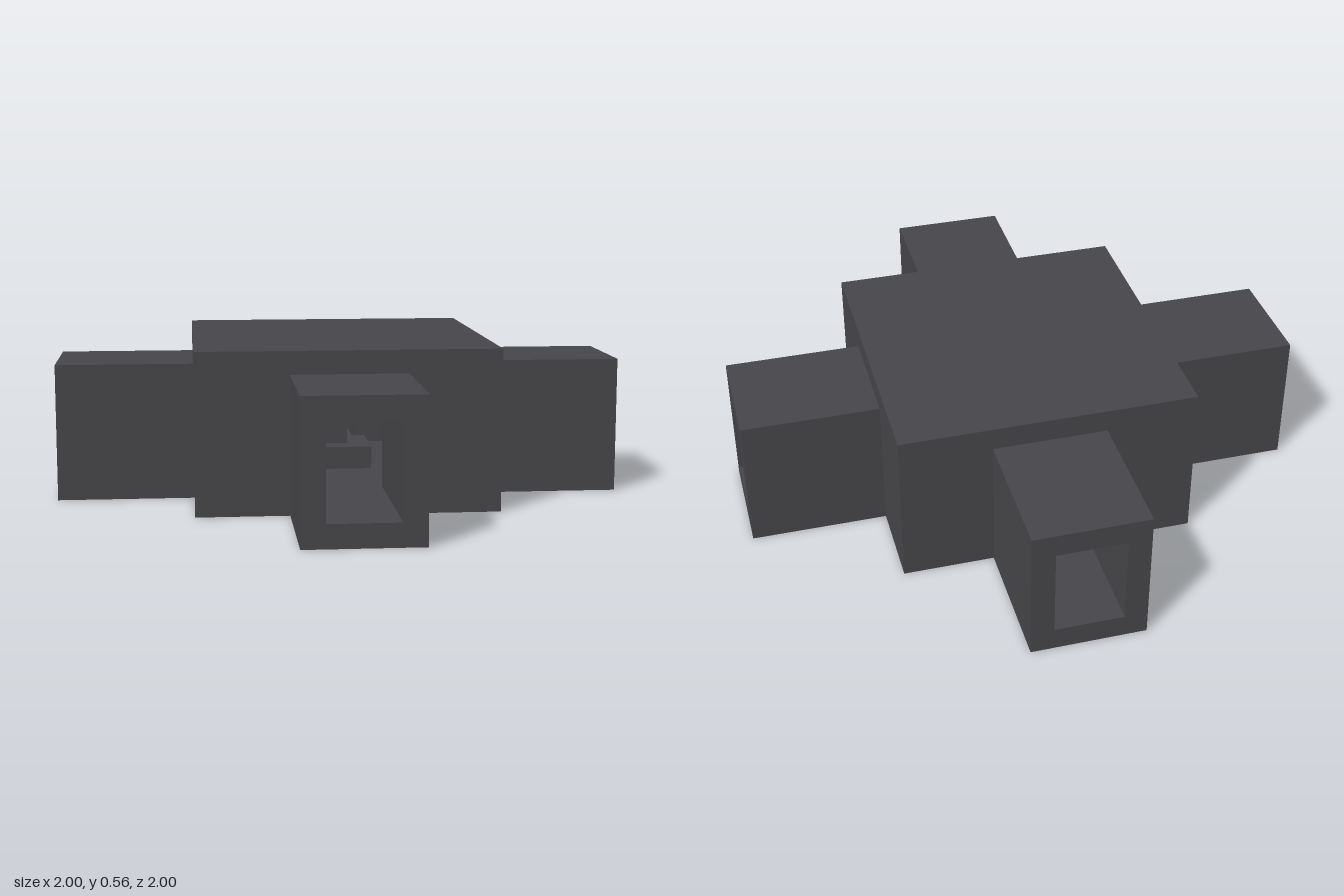
import * as THREE from 'three';

const BLOCK = 0.08; // wall thickness

// Rectangle from x0..x1, y0..y1 with the doorway cut out, extruded along z
function wallWithDoor(x0, x1, height, depth) {
  const shape = new THREE.Shape();
  shape.moveTo(x0, 0).lineTo(x1, 0).lineTo(x1, height).lineTo(x0, height).closePath();
  const door = new THREE.Path();
  door.moveTo(-0.12, 0.08).lineTo(-0.12, 0.4).lineTo(0.12, 0.4).lineTo(0.12, 0.08).closePath();
  shape.holes.push(door);
  return new THREE.ExtrudeGeometry(shape, { depth, bevelEnabled: false });
}

export function createModel() {
  const stone = new THREE.MeshStandardMaterial({ color: 0x47464a });
  stone.name = 'darkStone';
  const crystal = new THREE.MeshStandardMaterial({ color: 0x7f5fb0 });
  crystal.name = 'purpleCrystal';

  const model = new THREE.Group();
  model.name = 'crossChamber';

  const add = (name, geometry, material, parent = model) => {
    const mesh = new THREE.Mesh(geometry, material);
    mesh.name = name;
    parent.add(mesh);
    return mesh;
  };
  const addBox = (name, width, bottom, height, material) => {
    add(name, new THREE.BoxGeometry(width, height, width), material).position.y = bottom + height / 2;
  };

  // Four sides: a chamber wall (butted at the corners) and a hollow passage
  const wallGeometry = wallWithDoor(-0.52, 0.44, 0.56, BLOCK);
  const passageGeometry = wallWithDoor(-0.2, 0.2, 0.48, 0.48);
  ['front', 'left', 'back', 'right'].forEach((side, i) => {
    const group = new THREE.Group();
    group.name = side + 'Side';
    group.rotation.y = (i * Math.PI) / 2;
    add(side + 'Wall', wallGeometry, stone, group).position.z = 0.44;
    add(side + 'Passage', passageGeometry, stone, group).position.z = 0.52;
    model.add(group);
  });

  // Chamber floor and ceiling between the walls
  addBox('floor', 0.88, 0, BLOCK, stone);
  addBox('ceiling', 0.88, 0.48, BLOCK, stone);

  // Altar in the middle: platform, pedestal and crystal block
  addBox('platform', 0.24, 0.08, BLOCK, stone);
  addBox('pedestal', 0.08, 0.16, BLOCK, stone);
  addBox('crystalBlock', 0.08, 0.24, BLOCK, crystal);

  return model;
}
